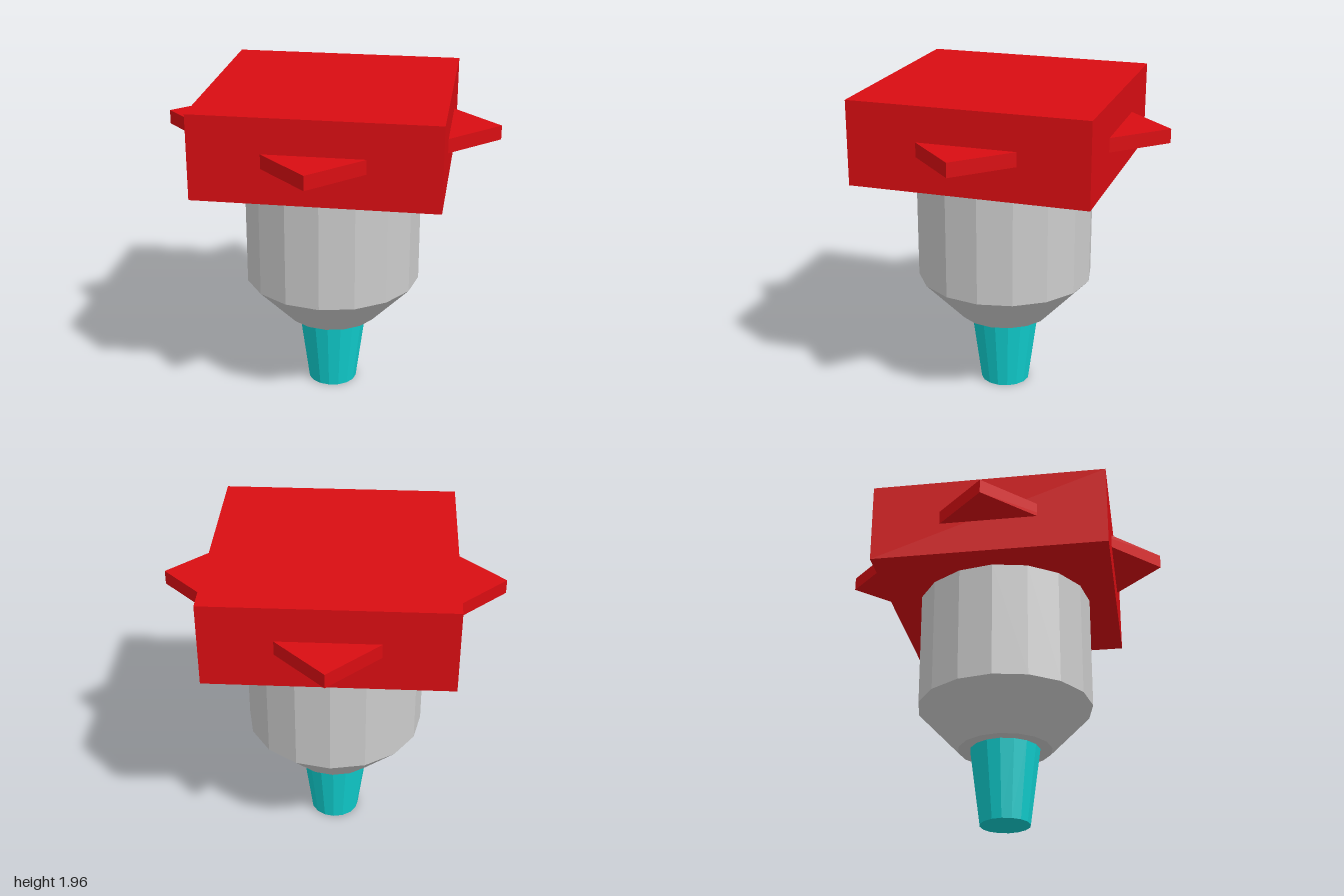
import * as THREE from 'three';

const SIDES = 16;

export function createModel() {
  const group = new THREE.Group();
  const material = (color) => new THREE.MeshStandardMaterial({ color, flatShading: true });
  const red = material(0xd90d12);
  const grey = material(0xcccccc);
  const teal = material(0x10d0d0);

  const add = (name, geometry, mat, y) => {
    const mesh = new THREE.Mesh(geometry, mat);
    mesh.name = name;
    mesh.position.y = y;
    group.add(mesh);
    return mesh;
  };

  // Tapered tip
  const tipHeight = 0.47;
  add('tip', new THREE.CylinderGeometry(0.214, 0.152, tipHeight, SIDES), teal, tipHeight / 2);

  // Barrel with a conical shoulder, closed at both ends
  const profile = [[0, 0.47], [0.287, 0.47], [0.54, 0.735], [0.54, 1.455], [0, 1.455]]
    .map(([r, y]) => new THREE.Vector2(r, y));
  add('barrel', new THREE.LatheGeometry(profile, SIDES), grey, 0);

  // Square head
  const width = Math.SQRT2;
  add('head', new THREE.BoxGeometry(width, 0.5, width), red, 1.705);

  // Thin plate turned 45 degrees, its corners showing as four side fins
  const fins = add('finPlate', new THREE.BoxGeometry(width, 0.085, width), red, 1.705);
  fins.rotation.y = Math.PI / 4;

  return group;
}
